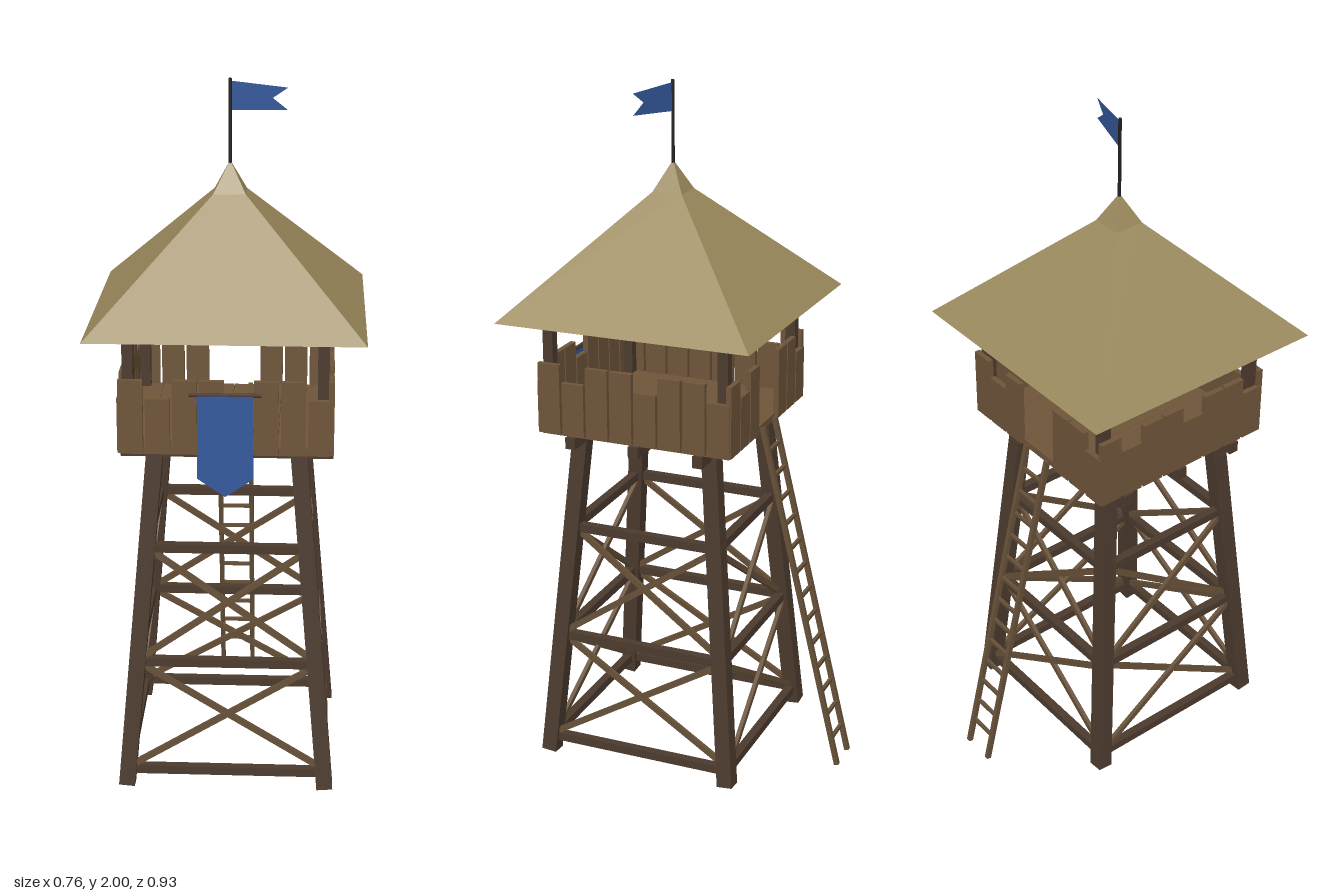
import * as THREE from 'three';

const mat = (name, color, side = THREE.FrontSide) => {
  const m = new THREE.MeshStandardMaterial({ color, side });
  m.name = name;
  return m;
};

export function createModel() {
  const darkWood = mat('darkWood', 0x4c3b2e);
  const plankWood = mat('plankWood', 0x6f553a);
  const braceWood = mat('braceWood', 0x665038);
  const thatch = mat('thatch', 0x9a895c);
  const iron = mat('iron', 0x231f1d);
  const cloth = mat('blueCloth', 0x34589c, THREE.DoubleSide);

  const model = new THREE.Group();
  model.name = 'watchtower';
  const tower = new THREE.Group();
  tower.name = 'tower';
  tower.position.z = 0.085;
  model.add(tower);

  const add = (parent, name, geo, material, x = 0, y = 0, z = 0) => {
    const m = new THREE.Mesh(geo, material);
    m.name = name;
    m.position.set(x, y, z);
    parent.add(m);
    return m;
  };
  const box = (parent, name, material, w, h, d, x, y, z) =>
    add(parent, name, new THREE.BoxGeometry(w, h, d), material, x, y, z);

  // Square timber running between two points
  const UP = new THREE.Vector3(0, 1, 0);
  const beam = (parent, name, material, a, b, w, d = w) => {
    const p = new THREE.Vector3(...a), q = new THREE.Vector3(...b);
    const dir = q.clone().sub(p);
    const m = add(parent, name, new THREE.BoxGeometry(w, dir.length(), d), material);
    m.position.copy(p).add(q).multiplyScalar(0.5);
    m.quaternion.setFromUnitVectors(UP, dir.normalize());
    return m;
  };

  // Distance of the leg centres from the axis at a height
  const half = y => 0.286 - 0.086 * y;

  // Legs and roof posts
  for (const sx of [-1, 1]) for (const sz of [-1, 1]) {
    beam(tower, 'leg', darkWood, [sx * half(0.003), 0.003, sz * half(0.003)],
      [sx * half(1.02), 1.02, sz * half(1.02)], 0.046);
    box(tower, 'roofPost', darkWood, 0.03, 0.335, 0.03, sx * 0.265, 1.2, sz * 0.265);
  }

  // Each side: cross beams, diagonal braces and palisade planks
  const tiers = [0.05, 0.38, 0.72];
  for (let s = 0; s < 4; s++) {
    const side = new THREE.Group();
    side.name = ['frontSide', 'leftSide', 'backSide', 'rightSide'][s];
    side.rotation.y = s * Math.PI / 2;
    tower.add(side);

    for (const y of tiers)
      box(side, 'crossBeam', darkWood, 2 * half(y), 0.025, 0.025, 0, y, half(y));
    for (let t = 0; t < 2; t++) {
      const y0 = tiers[t] + 0.012, y1 = tiers[t + 1] - 0.012;
      for (const k of [-1, 1])
        beam(side, 'brace', braceWood, [-k * (half(y0) - 0.01), y0, half(y0) + k * 0.006],
          [k * (half(y1) - 0.01), y1, half(y1) + k * 0.006], 0.017, 0.012);
    }

    for (let i = 0; i < 8; i++) {
      if (s === 2 && (i === 3 || i === 4)) continue; // ladder opening
      const h = i % 3 === 1 ? 0.155 : 0.207;
      box(side, 'palisadePlank', plankWood, 0.067, h, 0.016,
        (i - 3.5) * 0.0737, 1.026 + h / 2, 0.287);
    }
  }

  // Platform: joists below, boards above
  for (const z of [-0.195, 0, 0.195])
    box(tower, 'joist', darkWood, 0.59, 0.034, 0.03, 0, 1.003, z);
  for (let i = 0; i < 8; i++)
    box(tower, 'floorBoard', plankWood, 0.07, 0.02, 0.57, (i - 3.5) * 0.071, 1.03, 0);

  // Thatched roof with a steeper cap
  const pyramid = (name, r0, r1, y0, y1) => {
    const geo = new THREE.CylinderGeometry(r1 * Math.SQRT2, r0 * Math.SQRT2, y1 - y0, 4)
      .rotateY(Math.PI / 4).toNonIndexed();
    geo.computeVertexNormals();
    add(tower, name, geo, thatch, 0, (y0 + y1) / 2, 0);
  };
  pyramid('roof', 0.378, 0.04, 1.36, 1.695);
  pyramid('roofCap', 0.05, 0.001, 1.68, 1.775);

  // Pole and swallow-tailed flag
  add(tower, 'flagPole', new THREE.CylinderGeometry(0.005, 0.005, 0.25, 6), iron, 0, 1.875, 0);
  const outline = pts => new THREE.ShapeGeometry(new THREE.Shape(pts.map(p => new THREE.Vector2(...p))));
  const flag = add(tower, 'flag', outline([[0, -0.04], [0.165, -0.03], [0.122, 0], [0.165, 0.03], [0, 0.04]]),
    cloth, 0, 1.953, 0);
  flag.rotation.y = -0.3;

  // Banner hanging from a rod on the front
  add(tower, 'banner', outline([[-0.076, 0], [-0.076, -0.24], [0, -0.292], [0.076, -0.24], [0.076, 0]]),
    cloth, 0, 1.198, 0.306);
  add(tower, 'bannerRod', new THREE.CylinderGeometry(0.006, 0.006, 0.195, 6), darkWood, 0, 1.197, 0.301)
    .rotation.z = Math.PI / 2;

  // Ladder leaning on the back
  const ladder = new THREE.Group();
  ladder.name = 'ladder';
  model.add(ladder);
  const ladderZ = y => -0.459 + 0.24 * y;
  for (const sx of [-1, 1])
    beam(ladder, 'ladderRail', braceWood, [sx * 0.048, 0.003, ladderZ(0)],
      [sx * 0.048, 1.038, ladderZ(1.038)], 0.014);
  for (let i = 0; i < 13; i++) {
    const y = 0.085 + i * 0.0735;
    box(ladder, 'rung', braceWood, 0.09, 0.01, 0.01, 0, y, ladderZ(y));
  }
  return model;
}
